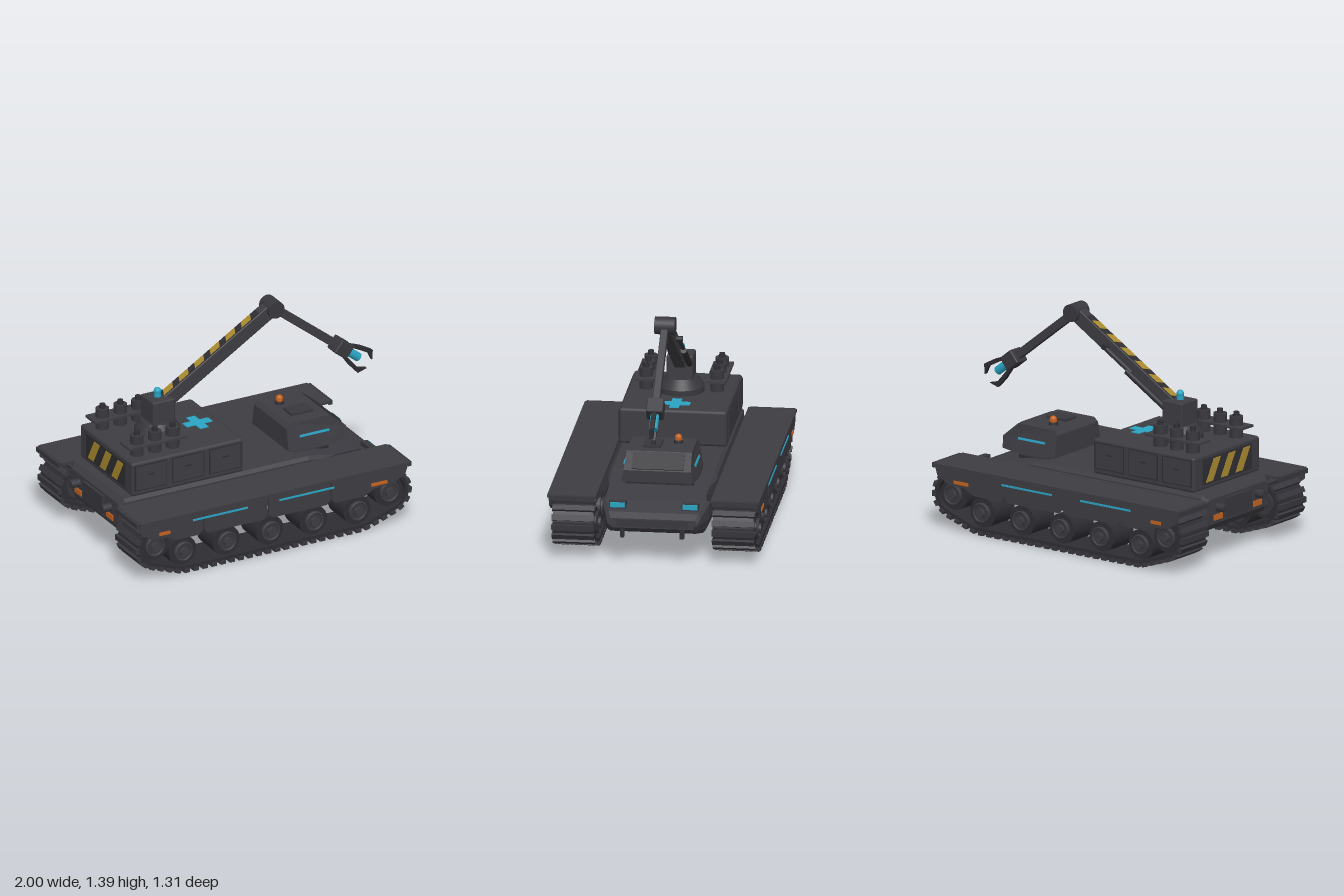
import * as THREE from 'three';
import { RoundedBoxGeometry } from 'three/addons/geometries/RoundedBoxGeometry.js';

const colour = (name, hex) => {
  const m = new THREE.MeshStandardMaterial({ color: hex, flatShading: false });
  m.name = name;
  return m;
};
const M = {
  body: colour('charcoal body', 0x3d3c42),
  dark: colour('dark rubber', 0x2e2d32),
  metal: colour('gunmetal', 0x38373d),
  cyan: colour('cyan light', 0x2aa3c2),
  orange: colour('orange light', 0xc4621f),
  yellow: colour('hazard yellow', 0xa88a2e),
};

export function createModel() {
  const model = new THREE.Group();

  function add(name, geo, mat, x = 0, y = 0, z = 0, parent = model) {
    const mesh = new THREE.Mesh(geo, mat);
    mesh.name = name;
    mesh.position.set(x, y, z);
    parent.add(mesh);
    return mesh;
  }
  const box = (w, h, d) => new THREE.BoxGeometry(w, h, d);
  const round = (w, h, d, r) => new RoundedBoxGeometry(w, h, d, 1, r);
  function cyl(r0, r1, len, axis = 'y', sides = 24) {
    const g = new THREE.CylinderGeometry(r1, r0, len, sides);
    if (axis === 'x') g.rotateZ(-Math.PI / 2);
    if (axis === 'z') g.rotateX(Math.PI / 2);
    return g;
  }
  // Polygon in xy, extruded along z and centred on z = 0
  function slab(points, depth) {
    const shape = new THREE.Shape(points.map(p => new THREE.Vector2(...p)));
    return new THREE.ExtrudeGeometry(shape, { depth, bevelEnabled: false }).translate(0, 0, -depth / 2);
  }
  const slanted = (w, h, lean) => slab([[0, 0], [w, 0], [w + lean, h], [lean, h]], 0.004);

  // Hull: cross-sections [x, bottom, top, half width] from rear to front
  const stations = [[-0.94, 0.24, 0.4, 0.31], [-0.91, 0.2, 0.435, 0.335], [-0.78, 0.155, 0.435, 0.335],
    [0.38, 0.155, 0.435, 0.335], [0.78, 0.165, 0.365, 0.33], [0.9, 0.195, 0.32, 0.295], [0.94, 0.23, 0.29, 0.28]];
  const rings = stations.map(([x, b, t, w]) => {
    const half = [[w * 0.89, b], [w * 0.95, b + 0.025], [w, b + (t - b) * 0.45], [w, t - 0.02], [w - 0.02, t]];
    return [...half, ...half.map(([z, y]) => [-z, y]).reverse()].map(([z, y]) => [x, y, z]);
  });
  const tris = [];
  const n = rings[0].length;
  for (let s = 0; s < rings.length - 1; s++) {
    for (let i = 0; i < n; i++) {
      const [a0, a1, b0, b1] = [rings[s][i], rings[s + 1][i], rings[s][(i + 1) % n], rings[s + 1][(i + 1) % n]];
      tris.push(...a0, ...a1, ...b1, ...a0, ...b1, ...b0);
    }
  }
  const first = rings[0], last = rings[rings.length - 1];
  for (let i = 1; i < n - 1; i++) {
    tris.push(...first[0], ...first[i], ...first[i + 1], ...last[0], ...last[i + 1], ...last[i]);
  }
  const hullGeo = new THREE.BufferGeometry();
  hullGeo.setAttribute('position', new THREE.Float32BufferAttribute(tris, 3));
  hullGeo.computeVertexNormals();
  add('hull', hullGeo, M.body);
  add('nosePlate', box(0.015, 0.045, 0.44), M.metal, 0.938, 0.262, 0);
  add('rearPlate', box(0.03, 0.13, 0.25), M.metal, -0.942, 0.32, 0);

  // Closed track outline, offset by d from the centre line of the belt
  function trackLoop(d, Kind = THREE.Shape) {
    const p = new Kind(), deg = Math.PI / 180;
    p.absarc(0.79, 0.22, 0.12 + d, -70 * deg, 90 * deg, false);
    p.absarc(-0.85, 0.22, 0.12 + d, 90 * deg, 250 * deg, false);
    p.lineTo(-0.67, 0.03 - d);
    p.lineTo(0.61, 0.03 - d);
    p.closePath();
    return p;
  }
  const beltShape = trackLoop(0.01);
  beltShape.holes.push(trackLoop(-0.016, THREE.Path));
  const beltGeo = new THREE.ExtrudeGeometry(beltShape, { depth: 0.25, bevelEnabled: false, curveSegments: 10 }).translate(0, 0, -0.125);
  const padPoints = trackLoop(0.017).getSpacedPoints(66);

  // Side skirt panels
  const skirts = [
    [[-0.97, 0.4], [-0.97, 0.34], [-0.9, 0.29], [-0.77, 0.28], [-0.72, 0.25], [-0.56, 0.25], [-0.535, 0.275], [-0.535, 0.4]],
    [[-0.525, 0.4], [-0.525, 0.275], [-0.5, 0.25], [-0.11, 0.25], [-0.085, 0.275], [-0.085, 0.4]],
    [[-0.075, 0.4], [-0.075, 0.275], [-0.05, 0.25], [0.33, 0.25], [0.355, 0.275], [0.355, 0.4]],
    [[0.365, 0.4], [0.365, 0.275], [0.39, 0.25], [0.6, 0.25], [0.66, 0.285], [0.8, 0.295], [0.88, 0.34], [0.9, 0.4]],
  ];

  function wheel(parent, x, y, r) {
    add('wheelTyre', cyl(r, r, 0.2, 'z'), M.dark, x, y, 0, parent);
    add('wheelDisc', cyl(r * 0.72, r * 0.66, 0.23, 'z'), M.metal, x, y, 0, parent);
    add('wheelRim', new THREE.TorusGeometry(r * 0.6, 0.008, 6, 24), M.body, x, y, 0.115, parent);
    add('wheelHub', cyl(r * 0.36, r * 0.3, 0.265, 'z', 16), M.body, x, y, 0, parent);
  }

  for (const s of [1, -1]) {
    // Running gear
    const gear = new THREE.Group();
    gear.name = s > 0 ? 'frontTrack' : 'backTrack';
    gear.position.z = s * 0.495;
    if (s < 0) gear.rotation.y = 0;
    model.add(gear);
    add('trackBelt', beltGeo, M.dark, 0, 0, 0, gear);
    for (let i = 0; i < padPoints.length - 1; i++) {
      const a = padPoints[i], b = padPoints[i + 1];
      const pad = add('trackPad', box(0.036, 0.026, 0.262), M.metal, (a.x + b.x) / 2, Math.max(0.013, (a.y + b.y) / 2), 0, gear);
      pad.rotation.z = Math.atan2(b.y - a.y, b.x - a.x);
    }
    const wheels = new THREE.Group();
    wheels.name = 'wheels';
    wheels.rotation.y = s > 0 ? 0 : Math.PI;
    gear.add(wheels);
    for (const x of [-0.65, -0.345, -0.04, 0.265, 0.57]) wheel(wheels, s * x, 0.14, 0.095);
    for (const x of [-0.85, 0.79]) wheel(wheels, s * x, 0.22, 0.1);

    // Fender, skirts and markers
    add('fender', box(1.88, 0.018, 0.3), M.body, -0.035, 0.405, s * 0.505);
    add('fenderBracket', box(1.6, 0.04, 0.06), M.dark, -0.05, 0.38, s * 0.34);
    for (const x of [-0.985, 0.912]) add('mudFlap', box(0.022, 0.03, 0.28), M.metal, x, 0.397, s * 0.505);
    for (const pts of skirts) add('sideSkirt', slab(pts, 0.014), M.body, 0, 0, s * 0.64);
    for (const x of [-0.415, 0.19]) add('skirtLight', box(0.385, 0.012, 0.006), M.cyan, x, 0.358, s * 0.649);
    add('rearMarker', box(0.075, 0.02, 0.008), M.orange, -0.805, 0.315, s * 0.65);
    add('noseMarker', box(0.11, 0.02, 0.008), M.orange, 0.695, 0.315, s * 0.65);

    // Headlights, tow hooks, exhausts and tail lights
    add('headlightHousing', box(0.045, 0.045, 0.105), M.metal, 0.85, 0.352, s * 0.225);
    add('headlight', box(0.008, 0.032, 0.092), M.cyan, 0.875, 0.355, s * 0.225);
    add('towHook', box(0.04, 0.045, 0.025), M.dark, 0.95, 0.2, s * 0.185);
    add('exhaust', cyl(0.026, 0.026, 0.1, 'x', 16), M.metal, -0.95, 0.34, s * 0.2);
    add('tailLight', box(0.025, 0.035, 0.085), M.orange, -0.935, 0.28, s * 0.2);

    // Cargo box doors
    for (const x of [-0.73, -0.47, -0.21]) {
      add('lockerFrame', box(0.225, 0.17, 0.006), M.dark, x, 0.56, s * 0.335);
      add('lockerDoor', box(0.21, 0.155, 0.01), M.body, x, 0.56, s * 0.336);
      add('lockerHandle', box(0.04, 0.01, 0.012), M.dark, x, 0.575, s * 0.339);
    }

    // Canister racks
    add('canisterTray', box(0.41, 0.014, 0.125), M.body, -0.645, 0.737, s * 0.22);
    for (const x of [-0.765, -0.64, -0.515]) {
      add('canister', cyl(0.042, 0.042, 0.135), M.metal, x, 0.732, s * 0.22);
      add('canisterCap', cyl(0.02, 0.018, 0.03, 'y', 16), M.dark, x, 0.812, s * 0.22);
    }
  }

  // Cargo box with cross and rear hazard stripes
  add('cargoBox', round(0.78, 0.225, 0.67, 0.018), M.body, -0.47, 0.5525, 0);
  add('crossLong', box(0.18, 0.006, 0.06), M.cyan, -0.22, 0.667, 0);
  for (const s of [1, -1]) add('crossArm', box(0.06, 0.006, 0.06), M.cyan, -0.22, 0.667, s * 0.06);
  add('hazardPanel', box(0.006, 0.165, 0.5), M.dark, -0.861, 0.555, 0);
  for (const z of [-0.22, -0.07, 0.08]) {
    add('hazardStripe', slanted(0.07, 0.14, 0.08), M.yellow, -0.865, 0.485, z).rotation.y = -Math.PI / 2;
  }

  // Cab: extruded side profile, narrowed towards the roof and nose
  const cabGeo = slab([[0.29, 0.45], [0.37, 0.425], [0.55, 0.435], [0.7, 0.45], [0.705, 0.525], [0.595, 0.618], [0.315, 0.618], [0.29, 0.59]], 0.47);
  const cp = cabGeo.attributes.position;
  for (let i = 0; i < cp.count; i++) {
    const x = cp.getX(i), y = cp.getY(i);
    cp.setZ(i, cp.getZ(i) * (1 - Math.max(0, y - 0.46) * 0.9) * (x > 0.65 ? 0.94 : 1));
  }
  cabGeo.computeVertexNormals();
  add('cab', cabGeo, M.body);
  add('cabBase', box(0.24, 0.06, 0.42), M.dark, 0.46, 0.415, 0);
  add('windshield', box(0.125, 0.008, 0.32), M.dark, 0.651, 0.573, 0).rotation.z = -0.702;
  for (const s of [1, -1]) {
    add('cabLight', box(0.205, 0.014, 0.008), M.cyan, 0.477, 0.53, s * 0.2205).rotation.x = -s * 0.21;
  }
  add('cabHatch', box(0.15, 0.02, 0.11), M.metal, 0.455, 0.624, 0.055);
  add('beaconBase', cyl(0.03, 0.026, 0.02, 'y', 16), M.dark, 0.405, 0.627, -0.095);
  add('beaconPost', cyl(0.023, 0.023, 0.02, 'y', 16), M.orange, 0.405, 0.643, -0.095);
  add('cabBeacon', new THREE.SphereGeometry(0.023, 16, 10), M.orange, 0.405, 0.652, -0.095);

  // Crane turntable and pedestal
  add('turntable', cyl(0.143, 0.143, 0.035, 'y', 32), M.metal, -0.5, 0.682, 0);
  add('turntableCone', cyl(0.143, 0.105, 0.06, 'y', 32), M.metal, -0.5, 0.73, 0);
  add('pedestal', round(0.155, 0.16, 0.165, 0.01), M.body, -0.497, 0.828, 0);
  add('craneLampPost', cyl(0.022, 0.022, 0.045, 'y', 16), M.cyan, -0.5, 0.922, 0);
  add('craneLamp', new THREE.SphereGeometry(0.024, 16, 10), M.cyan, -0.5, 0.945, 0);

  // Lower boom with striped top and side piston
  const boom = new THREE.Group();
  boom.name = 'boom';
  boom.position.set(-0.46, 0.865, 0);
  boom.rotation.z = Math.atan2(0.47, 0.76);
  model.add(boom);
  add('boomBeam', round(0.88, 0.092, 0.07, 0.006), M.body, 0.45, -0.002, 0, boom);
  add('stripeBase', box(0.78, 0.005, 0.054), M.dark, 0.41, 0.045, 0, boom);
  for (let i = 0; i < 6; i++) {
    add('boomStripe', slanted(0.075, 0.05, 0.025), M.yellow, 0.02 + i * 0.128, 0.0475, 0.025, boom).rotation.x = -Math.PI / 2;
  }
  add('pistonBarrel', cyl(0.019, 0.019, 0.34, 'x', 16), M.dark, 0.2, -0.025, -0.06, boom);
  add('pistonRod', cyl(0.013, 0.013, 0.25, 'x', 16), M.metal, 0.46, -0.01, -0.055, boom);
  add('pistonPin', cyl(0.018, 0.018, 0.08, 'z', 16), M.dark, 0.58, -0.005, -0.035, boom);
  add('elbow', cyl(0.055, 0.055, 0.126, 'z'), M.metal, 0.3, 1.335, 0);

  // Forearm, wrist and gripper
  const forearm = new THREE.Group();
  forearm.name = 'forearm';
  forearm.position.set(0.3, 1.335, 0);
  forearm.rotation.z = Math.atan2(-0.38, 0.48);
  model.add(forearm);
  add('forearmBeam', round(0.58, 0.052, 0.045, 0.005), M.body, 0.3, 0, 0, forearm);
  add('wrist', round(0.105, 0.095, 0.105, 0.008), M.metal, 0.615, 0, 0, forearm);
  add('gripperCore', cyl(0.028, 0.028, 0.11, 'x', 16), M.cyan, 0.715, 0, 0, forearm);
  for (const s of [1, -1]) {
    const claw = [[0.655, 0.025], [0.75, 0.045], [0.81, 0.056], [0.862, 0.03], [0.825, 0.084], [0.74, 0.07], [0.66, 0.045]];
    add('claw', slab(claw.map(([x, y]) => [x, s * y]), 0.028), M.dark, 0, 0, 0, forearm);
  }
  return model;
}
